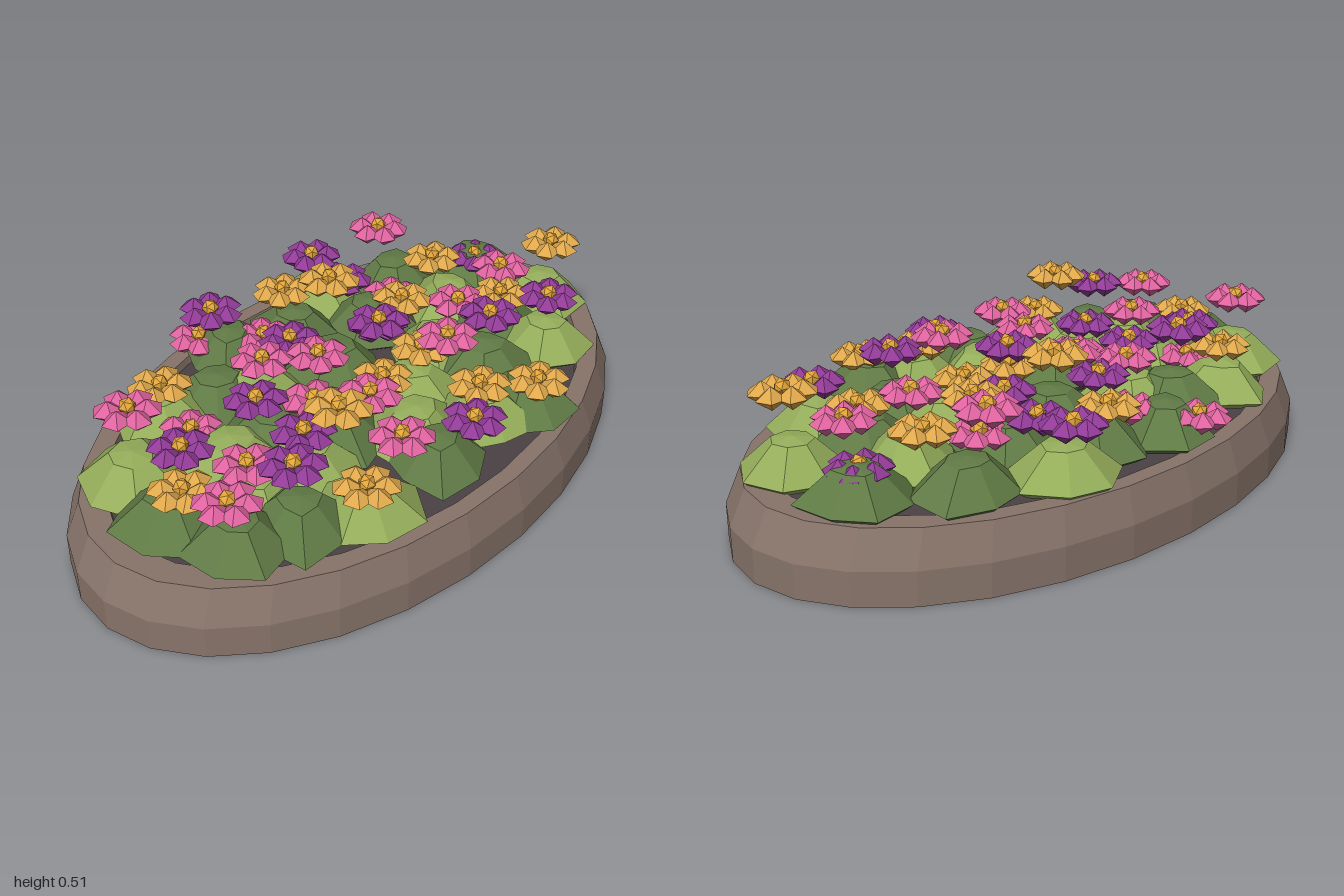
import * as THREE from 'three';

const material = (name, color) => {
  const m = new THREE.MeshStandardMaterial({ color });
  m.name = name;
  return m;
};

// Faceted look: every triangle gets its own normal
const faceted = (geometry) => {
  const g = geometry.index ? geometry.toNonIndexed() : geometry;
  g.computeVertexNormals();
  return g;
};

const lathe = (points, sides) =>
  new THREE.LatheGeometry(points.map(([x, y]) => new THREE.Vector2(x, y)), sides);

export function createModel() {
  let seed = 7;
  const random = () => (seed = (seed * 16807) % 2147483647) / 2147483647;

  const model = new THREE.Group();
  model.name = 'flowerBed';
  const stone = material('stone', 0x87746a);
  const earth = material('soil', 0x4a4144);
  const greens = [material('lightLeaf', 0x94ad5a), material('darkLeaf', 0x607a45)];
  const petals = {
    pink: material('pinkPetal', 0xdf639f),
    purple: material('purplePetal', 0x923b97),
    yellow: material('yellowPetal', 0xe0a84b),
  };
  const heart = material('flowerHeart', 0xe4a63a);

  const add = (parent, name, geometry, mat) => {
    const mesh = new THREE.Mesh(geometry, mat);
    mesh.name = name;
    parent.add(mesh);
    return mesh;
  };

  // Oval curb with bevelled shoulder, and the soil inside it
  const curb = lathe([[0, 0], [1, 0], [1, 0.1], [0.95, 0.2], [0.87, 0.2], [0.86, 0.16]], 28);
  add(model, 'curb', faceted(curb.scale(1, 1, 0.615)), stone);
  const soil = lathe([[0.87, 0.175], [0, 0.19]], 28);
  add(model, 'soil', faceted(soil.scale(1, 1, 0.615)), earth);

  // Leaf clumps: irregular flat-topped domes [x, z, shade]
  const clumps = [
    [-0.11, -0.42, 1], [0.3, -0.42, 0], [-0.47, -0.34, 0], [-0.7, -0.2, 0], [0.1, -0.34, 1],
    [0.54, -0.31, 1], [0.77, -0.15, 1], [0.78, 0.11, 0], [-0.75, 0, 1], [-0.7, 0.2, 1],
    [-0.39, 0.37, 0], [-0.54, 0.27, 1], [-0.04, 0.26, 0], [0.28, 0.41, 1], [-0.1, 0.38, 1],
    [0.14, 0.36, 0], [0.57, 0.28, 0], [0.55, -0.08, 0], [-0.48, -0.05, 0], [-0.3, -0.28, 1],
    [-0.2, 0.1, 1], [-0.2, -0.2, 0], [0.05, -0.12, 1], [0.3, -0.2, 1], [0.3, 0.05, 0],
    [0.35, 0.2, 1], [0.1, 0.12, 0], [-0.36, 0.14, 0], [-0.55, 0.12, 0], [0.56, 0.1, 1],
    [-0.32, -0.04, 1],
  ];
  const foliage = new THREE.Group();
  foliage.name = 'foliage';
  model.add(foliage);
  const sides = 7;
  const profile = [[0.12, 0.19], [0.15, 0.212], [0.06, 0.3], [0, 0.31]];
  clumps.forEach(([x, z, shade]) => {
    const g = lathe(profile, sides);
    const pos = g.attributes.position;
    const stretch = Array.from({ length: sides }, () => 0.85 + random() * 0.33);
    for (let i = 0; i < pos.count; i++) {
      const s = stretch[Math.floor(i / profile.length) % sides];
      pos.setX(i, pos.getX(i) * s);
      pos.setZ(i, pos.getZ(i) * s);
    }
    const clump = add(foliage, 'leafClump', faceted(g), greens[shade]);
    clump.position.set(x, 0, z);
    clump.rotation.y = random() * 6;
  });

  // Flowers: a ring of blunt double-pyramid petals around a small heart
  const petal = faceted(new THREE.SphereGeometry(1, 5, 2).rotateY(Math.PI).scale(0.046, 0.034, 0.042));
  petal.rotateY(Math.PI);
  const bud = faceted(new THREE.IcosahedronGeometry(0.025, 0));
  const flower = (color, x, z, y) => {
    const group = new THREE.Group();
    group.name = color + 'Flower';
    const count = 6;
    for (let i = 0; i < count; i++) {
      const a = (i / count) * Math.PI * 2;
      const p = add(group, 'petal', petal, petals[color]);
      p.position.set(Math.cos(a) * 0.053, 0, -Math.sin(a) * 0.053);
      p.rotation.y = a;
    }
    add(group, 'heart', bud, heart).position.y = 0.014;
    group.position.set(x, y, z);
    group.rotation.y = random() * 6;
    model.add(group);
  };

  // Blooms by colour: [x, z, height]
  const blooms = {
    purple: [
      [0.3, -0.45, 0.365], [-0.24, -0.35, 0.465], [0.29, -0.31, 0.34], [-0.62, -0.09, 0.325],
      [-0.34, -0.08, 0.335], [-0.06, -0.21, 0.335], [0.1, 0, 0.41], [0.19, -0.08, 0.32],
      [-0.36, 0.12, 0.335], [-0.54, 0.25, 0.4], [0, 0.43, 0.325], [0.35, 0.22, 0.405],
      [0.6, 0.26, 0.365], [0.75, -0.13, 0.285],
    ],
    pink: [
      [-0.16, -0.5, 0.265], [-0.68, -0.22, 0.425], [0.49, -0.33, 0.43], [-0.2, -0.19, 0.345],
      [-0.04, -0.34, 0.28], [-0.09, -0.07, 0.36], [-0.56, 0.1, 0.335], [-0.73, 0.2, 0.37],
      [-0.14, 0.17, 0.365], [0.17, 0.2, 0.41], [-0.22, 0.35, 0.355], [0.42, 0.05, 0.345],
      [0.67, 0.03, 0.345], [0.39, -0.19, 0.285], [-0.21, 0.02, 0.31], [-0.5, -0.18, 0.27],
    ],
    yellow: [
      [-0.48, -0.32, 0.345], [0.11, -0.4, 0.345], [0.13, -0.22, 0.45], [0.57, -0.17, 0.345],
      [0.32, -0.09, 0.345], [-0.73, 0.03, 0.315], [-0.35, 0.24, 0.47], [-0.4, 0.38, 0.31],
      [0.13, 0.35, 0.33], [0.28, 0.45, 0.31], [0.56, 0.11, 0.33], [0.78, 0.14, 0.425],
      [0.01, 0.09, 0.3], [0.19, 0.09, 0.31],
    ],
  };
  for (const [color, spots] of Object.entries(blooms)) {
    spots.forEach(([x, z, y]) => flower(color, x, z, y));
  }
  return model;
}
